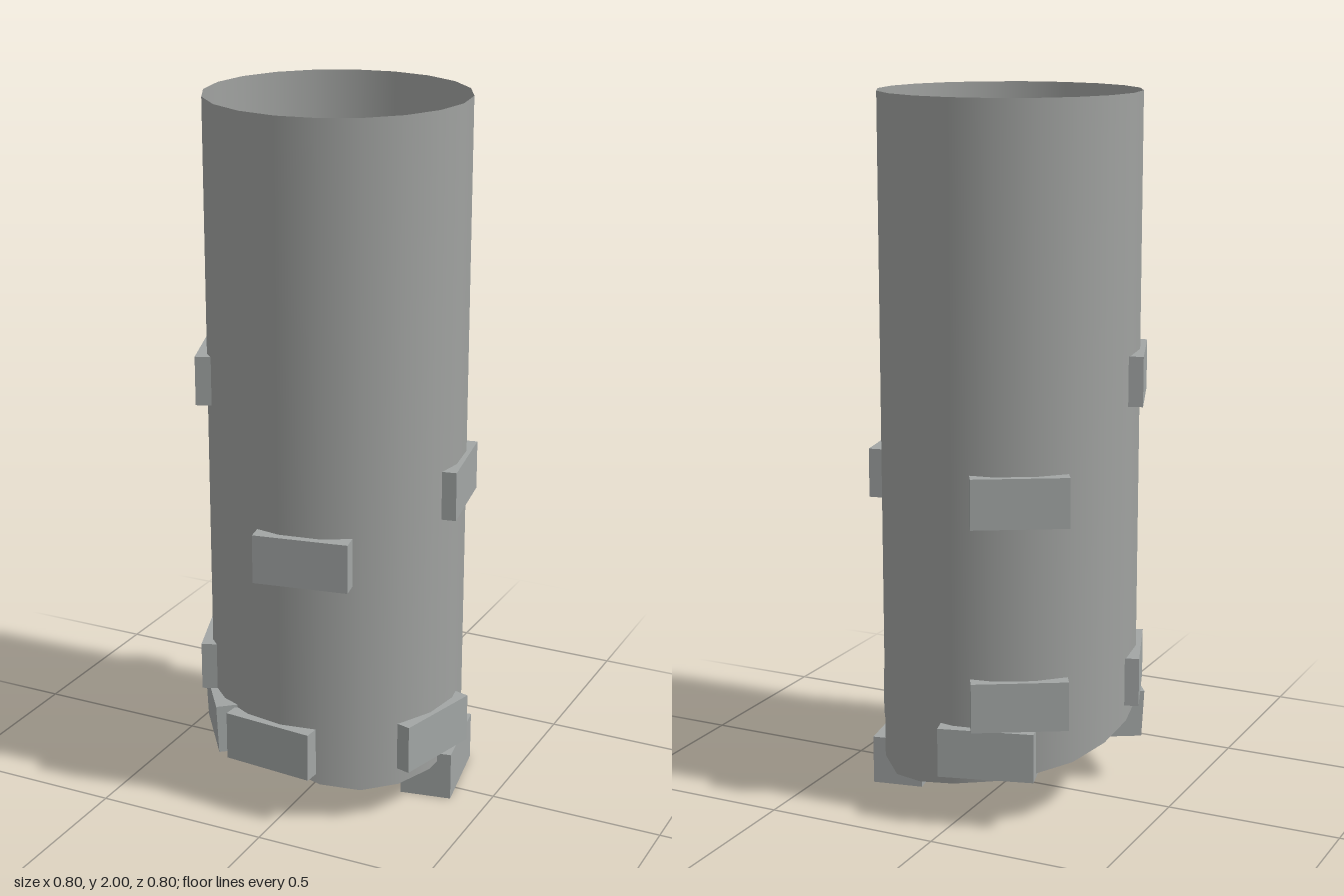
import * as THREE from 'three';

const SIDES = 20, RADIUS = 0.365;
// height of the uneven lower rim, every 18 degrees from +x towards +z
const RIM = [0.13, 0.11, 0.10, 0.10, 0.12, 0.16, 0.21, 0.25, 0.27, 0.26,
  0.24, 0.21, 0.18, 0.16, 0.14, 0.12, 0.10, 0.085, 0.10, 0.12];

// block layouts seen from above: centre x, z, direction of the long side
const SPOTS = {
  backLeaning: [-0.152, -0.266, 0.23, -0.13],
  back: [-0.082, -0.298, 0.257, -0.07],
  left: [0.297, -0.052, 0.047, 0.26],
  leftFront: [0.295, 0.08, -0.068, 0.258],
  front: [0.057, 0.305, 0.262, -0.046],
  frontLow: [-0.029, 0.308, 0.266, 0.022],
  right: [-0.287, 0.105, 0.09, 0.25],
  rightFront: [-0.222, 0.209, 0.155, 0.215],
};

// name, spot, centre height, outward tilt, endwise tilt
const BLOCKS = [
  ['leftFootBlock', 'left', 0.072, 0, 0],
  ['leftFrontBaseBlock', 'leftFront', 0.22, 0, 0],
  ['frontBaseBlock', 'frontLow', 0.22, 0, 0],
  ['tiltedBaseBlock', 'rightFront', 0.222, 0.04, 0.05],
  ['backBaseBlock', 'back', 0.22, 0, 0],
  ['rightLowerBlock', 'right', 0.358, 0, 0],
  ['backLowerBlock', 'backLeaning', 0.36, 0, 0],
  ['frontBlock', 'front', 0.792, 0, 0],
  ['leftBlock', 'left', 0.933, 0, 0],
  ['backBlock', 'backLeaning', 0.933, 0, 0],
  ['rightUpperBlock', 'right', 1.222, 0, 0],
];

function rimHeight(x, z) {
  const step = Math.round(Math.atan2(z, x) / (2 * Math.PI) * SIDES);
  return RIM[(step + SIDES) % SIDES];
}

export function createModel() {
  const model = new THREE.Group();
  const blockMaterial = new THREE.MeshStandardMaterial({ color: 0xa2a6a5 });
  const shellMaterial = new THREE.MeshStandardMaterial({ color: 0xa0a2a0, side: THREE.DoubleSide });

  // open tube wall, its lower end pulled to the uneven rim
  const wallGeo = new THREE.CylinderGeometry(RADIUS, RADIUS, 1, SIDES, 4, true);
  const wp = wallGeo.attributes.position;
  for (let i = 0; i < wp.count; i++) {
    const low = rimHeight(wp.getX(i), wp.getZ(i));
    wp.setY(i, low + (wp.getY(i) + 0.5) * (2 - low));
  }
  const wall = new THREE.Mesh(wallGeo, shellMaterial);
  wall.name = 'tubeWall';
  model.add(wall);

  // sagging floor: a fan from an off-centre point to the rim
  const floorGeo = new THREE.CircleGeometry(RADIUS, SIDES);
  floorGeo.rotateX(-Math.PI / 2);
  const fp = floorGeo.attributes.position;
  fp.setXYZ(0, -0.02, 0.15, -0.1);
  for (let i = 1; i < fp.count; i++) fp.setY(i, rimHeight(fp.getX(i), fp.getZ(i)));
  floorGeo.computeVertexNormals();
  const floor = new THREE.Mesh(floorGeo, shellMaterial);
  floor.name = 'tubeFloor';
  model.add(floor);

  // blocks set into the wall
  const blockGeo = new THREE.BoxGeometry(0.268, 0.14, 0.147);
  for (const [name, spot, y, tilt, roll] of BLOCKS) {
    const [x, z, dx, dz] = SPOTS[spot];
    const block = new THREE.Mesh(blockGeo, blockMaterial);
    block.name = name;
    block.position.set(x, y, z);
    block.rotation.set(tilt, Math.atan2(-dz, dx), roll, 'YXZ');
    model.add(block);
  }
  return model;
}
